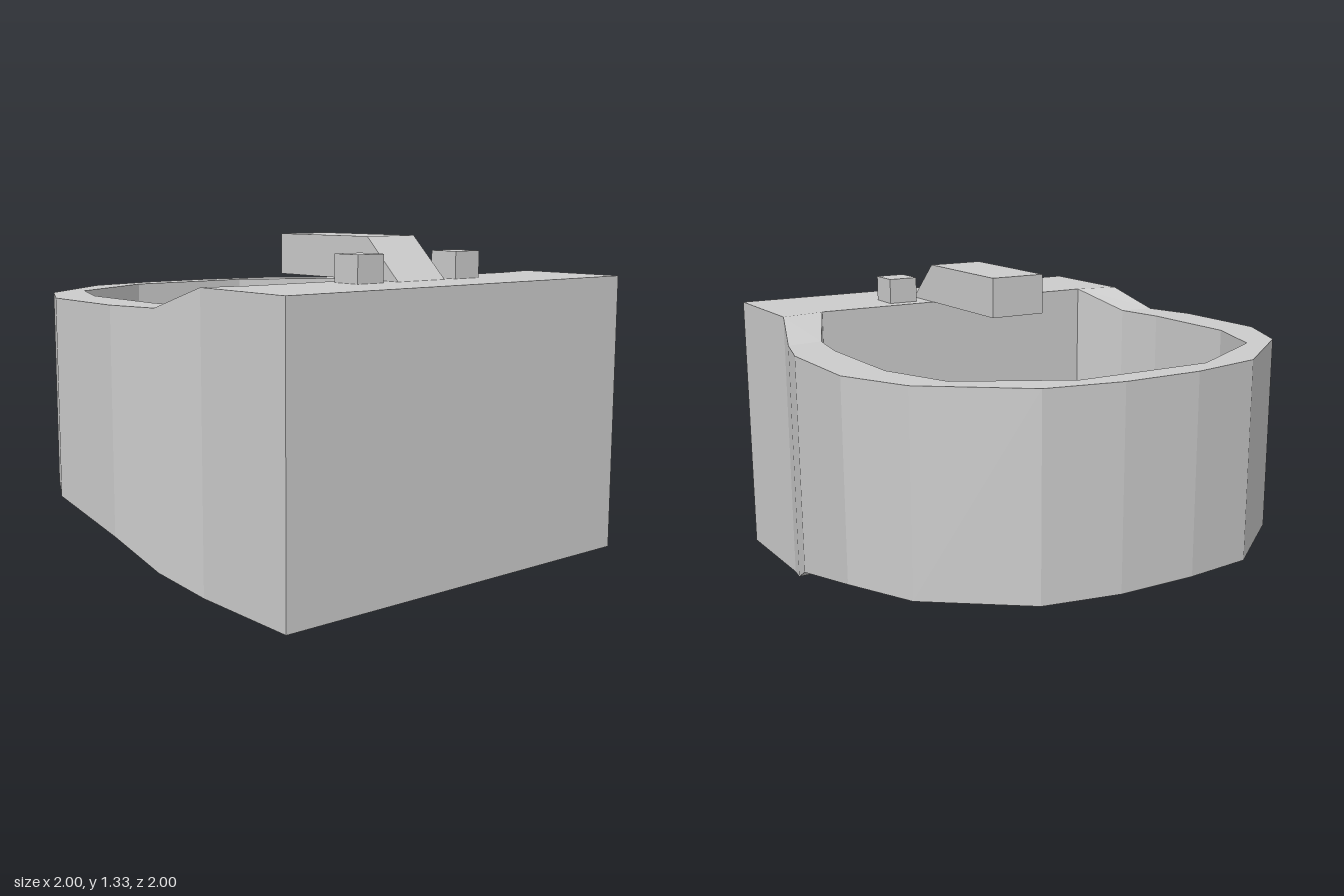
import * as THREE from 'three';

const material = new THREE.MeshStandardMaterial({ color: 0xcccccc, flatShading: true });

// Right half of each outline, front to back.
// Outer: x, z, underside height, top height
const OUTER = [
  [0.875, 1, 0, 1.16], [0.875, 0.5, 0, 1.16], [0.94, 0.29, 0.06, 1.075], [1, 0.07, 0.165, 1.075],
  [1, -0.37, 0.26, 1.075], [0.865, -0.65, 0.26, 1.075], [0.49, -0.94, 0.26, 1.075], [0.17, -1, 0.26, 1.075],
];
// Basin rim: x, z, top height (first and last corners serve two outer corners)
const INNER = [
  [0.68, 0.54, 1.16], [0.68, 0.54, 1.16], [0.785, 0.31, 1.075], [0.82, 0.09, 1.075],
  [0.82, -0.37, 1.075], [0.71, -0.66, 1.075], [0.295, -0.89, 1.075], [0.295, -0.89, 1.075],
];

// Mirror a half outline into a closed ring
function ring(half) {
  return [...half, ...half.map(([x, y, z]) => [-x, y, z]).reverse()];
}

function surface(name, quads) {
  const pos = [];
  for (const [a, b, c, d] of quads) pos.push(...a, ...b, ...c, ...a, ...c, ...d);
  const g = new THREE.BufferGeometry();
  g.setAttribute('position', new THREE.Float32BufferAttribute(pos, 3));
  g.computeVertexNormals();
  const mesh = new THREE.Mesh(g, material);
  mesh.name = name;
  return mesh;
}

// Band of quads between two rings
function band(name, lower, upper) {
  return surface(name, lower.map((p, i) => {
    const j = (i + 1) % lower.length;
    return [p, lower[j], upper[j], upper[i]];
  }));
}

// Close a mirrored ring with strips running across from side to side
function cap(name, r, up) {
  const n = r.length, quads = [];
  for (let i = 0; i < n / 2 - 1; i++) {
    const q = [r[i], r[i + 1], r[n - 2 - i], r[n - 1 - i]];
    quads.push(up ? q : q.reverse());
  }
  return surface(name, quads);
}

function box(name, x0, x1, y0, y1, z0, z1) {
  const mesh = new THREE.Mesh(new THREE.BoxGeometry(x1 - x0, y1 - y0, z1 - z0), material);
  mesh.position.set((x0 + x1) / 2, (y0 + y1) / 2, (z0 + z1) / 2);
  mesh.name = name;
  return mesh;
}

export function createModel() {
  const model = new THREE.Group();
  model.name = 'washbasin';

  // Bowl body; the underside dips slightly on the right at the back
  const underside = ring(OUTER.map(([x, z, y]) => [x, y, z]))
    .map(([x, y, z]) => [x, x < 0 && z < -0.3 && z > -0.99 ? 0.245 : y, z]);
  const outerRim = ring(OUTER.map(([x, z, , y]) => [x, y, z]));
  const innerRim = ring(INNER.map(([x, z, y]) => [x, y, z]));
  // Floor falls gently toward the front left corner
  const floor = innerRim.map(([x, , z]) => [x, 0.663 - 0.08 * x * Math.max(0, z), z]);
  model.add(
    band('outerWall', underside, outerRim),
    band('rim', outerRim, innerRim),
    band('basinWall', innerRim, floor),
    cap('basinFloor', floor, true),
    cap('underside', underside, false),
  );

  // Spout with a sloping end, drawn in side profile and extruded across x
  const profile = new THREE.Shape([[-0.73, 1.16], [0, 1.16], [0, 1.33], [-0.55, 1.33]]
    .map(([u, v]) => new THREE.Vector2(u, v)));
  const spoutGeo = new THREE.ExtrudeGeometry(profile, { depth: 0.25, bevelEnabled: false });
  spoutGeo.translate(0, 0, -0.12).rotateY(Math.PI / 2);
  const spout = new THREE.Mesh(spoutGeo, material);
  spout.name = 'spout';
  model.add(spout);

  // Tap handles
  model.add(
    box('rightTapHandle', -0.33, -0.2, 1.16, 1.27, 0.6, 0.735),
    box('leftTapHandle', 0.185, 0.318, 1.16, 1.27, 0.6, 0.735),
  );
  return model;
}
